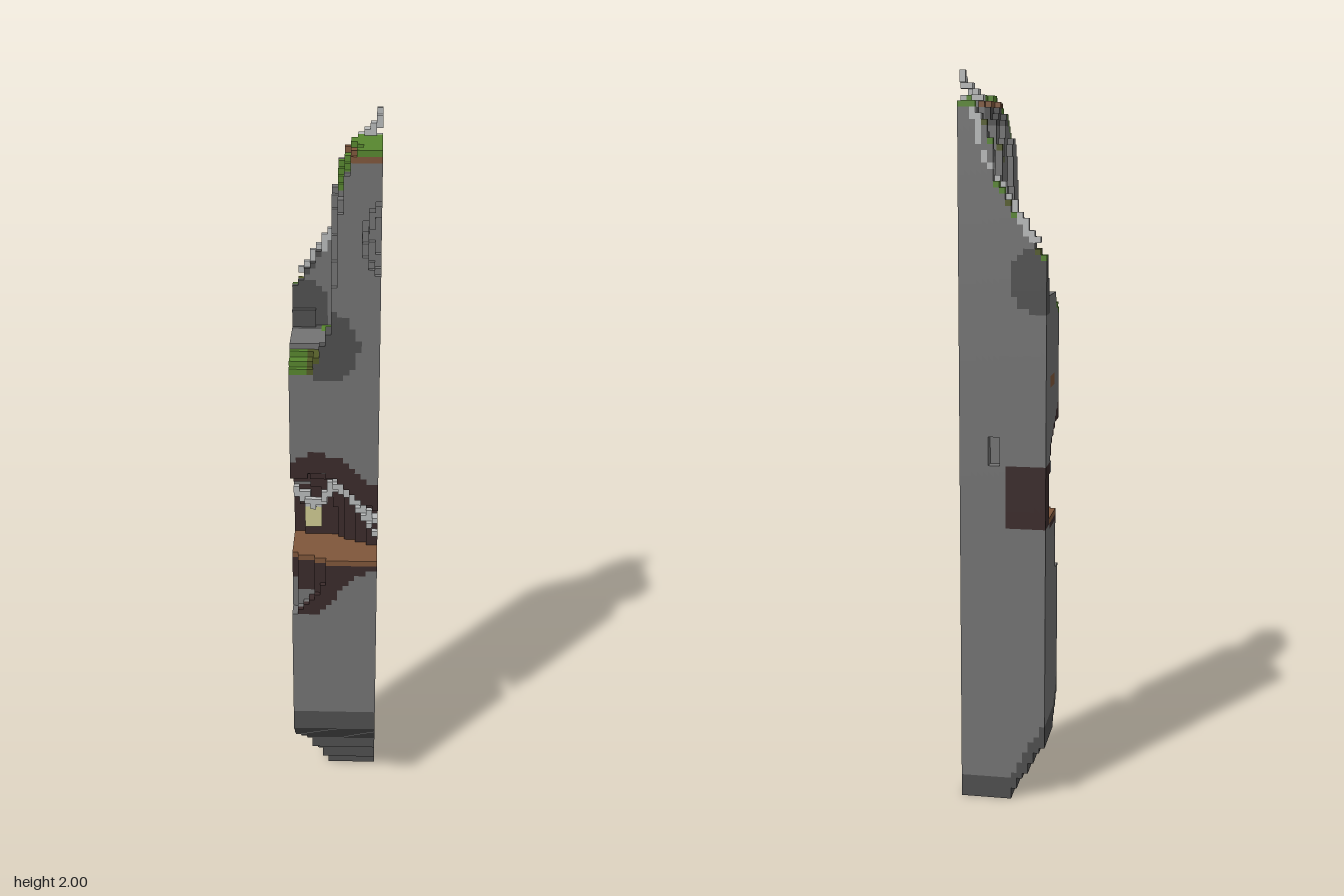
import * as THREE from 'three';

// Block size and counts: 15 x 127 x 15 cells
const S = 2 / 127, N = 15, H = 127;
const mat = (name, color) => { const m = new THREE.MeshStandardMaterial({ color }); m.name = name; return m; };

// Linear interpolation through [position, value] points
function at(points, p) {
  if (p <= points[0][0]) return points[0][1];
  for (let i = 1; i < points.length; i++) {
    const [a, va] = points[i - 1], [b, vb] = points[i];
    if (p <= b) return va + (vb - va) * (p - a) / (b - a);
  }
  return points[points.length - 1][1];
}

// Underside: slopes away towards the front and the right-hand side
const underZ = [[-0.05, 0], [-0.035, 0.03], [-0.02, 0.07], [0, 0.13], [0.07, 0.19], [0.12, 0.25]];
const underX = [[-0.12, 0.18], [-0.08, 0.12], [-0.05, 0.06], [-0.015, 0]];
const under = (x, z) => Math.max(at(underZ, z), at(underX, x));

// Broken top: inner edge of the tall slab, and top of the thin back wall
const slabEdge = [[1.36, -0.07], [1.42, -0.03], [1.5, 0], [1.8, 0.004], [1.87, 0.02], [1.91, 0.04], [1.94, 0.06]];
const wallTop = [[-0.12, 1.51], [-0.05, 1.61], [0.05, 1.78], [0.08, 1.92], [0.12, 1.92]];
const edgeAt = (y, z) => at(slabEdge, y) + 0.012 * Math.sin(z * 40 + y * 9) * (y > 1.5 ? 1 : 0.4);
const ledge = z => (z > 0.05 ? 1.37 + (0.118 - z) * 0.6 : 1.41);

// Hollow: roof height, depth, and the chipped sill below
const roof = [[-0.12, 1.05], [-0.04, 1.07], [0, 1.05], [0.06, 0.99], [0.118, 0.955]];
const depth = [[-0.12, 0.17], [0, 0.15], [0.118, 0.083]];
const FLOOR = 51 * S;
const sillDepth = [[-0.12, 0.05], [-0.05, 0.02], [0, 0]];
const sillLow = [[-0.12, 0.63], [-0.05, 0.68], [0, 0.78]];
function inHollow(x, y, z) {
  const d = 0.118 - z;
  if (y < FLOOR) return y > at(sillLow, x) && d < at(sillDepth, x);
  const u = d / at(depth, x), v = Math.max(0, (y - 0.87) / (at(roof, x) - 0.87));
  return u ** 2.5 + v ** 2.5 < 1;
}

// Arched window through the tall slab
const inWindow = (x, y, z) => x > -0.06 && y > 1.41 && y < 1.562 &&
  Math.abs(z + 0.03) < at([[1.5, 0.062], [1.53, 0.05], [1.56, 0.025]], y);

// Chip out of the tall corner, and a small niche in the back
const inChip = (x, y, z) => Math.hypot(x - 0.125, (y - 1.715) * 0.55, z - 0.125) < 0.056;
const inNiche = (x, y, z) => z < -0.09 && Math.abs(x - 0.022) < 0.016 && Math.abs(y - 1.0) < 0.035;

function solid(x, y, z) {
  if (y < under(x, z) || inHollow(x, y, z) || inWindow(x, y, z) || inChip(x, y, z) || inNiche(x, y, z)) return false;
  if (y < ledge(z)) return true;
  const wallThick = y < 1.46 ? 0.045 : 0.03;
  if (z < -0.118 + wallThick && y < at(wallTop, x)) return true;
  if (z < -0.07) return x > edgeAt(y, z) + 0.03 && y < 1.92;
  return y < 123 * S && x > edgeAt(y, z);
}

// Charred area around the hollow
const charTop = [[-0.12, 1.1], [-0.06, 1.14], [0.02, 1.125], [0.06, 1.07], [0.118, 1.035]];
const charLow = [[-0.12, 0.605], [-0.06, 0.61], [-0.02, 0.64], [0.02, 0.7], [0.06, 0.75], [0.118, 0.78]];
function charred(x, y, z) {
  const w = (0.118 - z) / 0.16, top = at(charTop, x), low = at(charLow, x);
  if (x < -0.01 && z < -0.04) return y > 0.79 && y < 0.96;
  if (x > 0.1 && z < -0.02) return (y > 0.985 && y < 1.02 && z > -0.085) || (z > -0.055 && y > 0.78 && y < 0.87);
  return z > -0.07 && y < top + (1.0 - top) * w && y > low + (0.77 - low) * Math.min(1, w * 2.2);
}

function partOf(x, y, z, open) {
  if (y < 0.35) return y < under(x, z) + 0.055 || (z < -0.05 && y < 0.06) ? 'weatheredStone' : 'stonePillar';
  // earth floor of the hollow and a stain on the side
  if (open && y < FLOOR && y > FLOOR - S && inHollow(x, y + S, z)) return 'earth';
  if (x < -0.1 && Math.hypot(z * 0.4, y - 1.18) < 0.018) return 'earth';
  if (y > 0.55 && y < 1.2) {
    if (Math.hypot(x + 0.018, y - 1.04) < 0.028 && z < 0.11) return 'stonePillar';
    return charred(x, y, z) ? 'charredHollow' : 'stonePillar';
  }
  // moss and earth layers on the summit
  if (y > 122 * S) return 'moss';
  if (y > 121 * S && z > -0.07) return 'earth';
  if (y > 1.3 && open) {
    if (z > 0.055 && x < -0.035) return x > -0.065 ? 'darkMoss' : 'moss';
    if (z < -0.1) return Math.sin(x * 90) > -0.75 ? 'moss' : 'darkMoss';
    if (z < -0.035 && x > -0.035 && x < 0.03) return x < 0 ? 'moss' : 'darkMoss';
    if (x > 0.01 && x < 0.045 && z > 0.01 && z < 0.07) return 'moss';
    if (z < -0.06 || (x > 0.035 && y > 1.8)) return 'weatheredStone';
  }
  // weathered patches beside the break
  if (z > 0.05 && Math.hypot((x + 0.02) / 0.085, (y - 1.43) / 0.095) < 1) return 'weatheredStone';
  if (z < -0.06 && Math.hypot((x + 0.1) / 0.08, (y - 1.46) / 0.09) < 1) return 'weatheredStone';
  if (y > 1.86 && x < 0.06 && z < 0.1) return 'weatheredStone';
  return 'stonePillar';
}

const key = (i, j, k) => (j * N + k) * N + i;
const cellOf = (x, y, z) => [Math.floor(x / S + N / 2), Math.floor(y / S), Math.floor(z / S + N / 2)];

export function createModel() {
  const cells = new Map();
  const pos = i => (i + 0.5 - N / 2) * S;
  for (let j = 0; j < H; j++) for (let k = 0; k < N; k++) for (let i = 0; i < N; i++) {
    const x = pos(i), y = (j + 0.5) * S, z = pos(k);
    if (solid(x, y, z)) cells.set(key(i, j, k), partOf(x, y, z, !solid(x, y + S, z)));
  }

  // Pale roots: block trails along short paths
  const trail = (points, part) => {
    for (let n = 1; n < points.length; n++) for (let t = 0; t <= 1; t += 0.05) {
      const [i, j, k] = cellOf(...points[n].map((v, a) => points[n - 1][a] + (v - points[n - 1][a]) * t));
      if (i >= 0 && i < N && j < H && k >= 0 && k < N) cells.set(key(i, j, k), part);
    }
  };
  trail([[-0.11, 0.94, -0.03], [-0.06, 0.885, -0.03], [-0.03, 0.93, -0.02], [0, 1.0, 0], [0.04, 0.99, 0.03],
    [0.07, 0.93, 0.06], [0.11, 0.89, 0.11]], 'paleRoots');
  trail([[-0.11, 0.95, -0.03], [-0.06, 0.91, -0.02], [0.01, 0.98, 0.01], [0.05, 0.96, 0.04], [0.11, 0.92, 0.09]], 'paleRoots');
  trail([[-0.09, 1.56, -0.112], [-0.06, 1.6, -0.112], [-0.03, 1.65, -0.098], [0.02, 1.72, -0.098], [0.05, 1.79, -0.108]], 'paleRoots');
  trail([[0.06, 1.82, -0.11], [0.075, 1.9, -0.11], [0.07, 1.93, -0.07], [0.085, 1.945, -0.045], [0.1, 1.96, -0.06],
    [0.105, 1.975, -0.065], [0.112, 1.995, -0.08]], 'paleRoots');
  trail([[0.075, 1.93, -0.04], [0.11, 1.93, -0.06]], 'paleRoots');
  // Glowing fungus on the back of the hollow
  for (const dx of [-0.085, -0.07, -0.055]) trail([[dx, 0.85, -0.025], [dx, 0.89, -0.025]], 'fungus');

  const materials = {
    stonePillar: mat('stone', 0x747474), weatheredStone: mat('dark stone', 0x505050),
    charredHollow: mat('charred brown', 0x3b2b2b), earth: mat('earth brown', 0x80573b),
    moss: mat('moss green', 0x58872f), darkMoss: mat('dark moss', 0x545c28),
    paleRoots: mat('pale grey', 0xb9bbbb), fungus: mat('pale yellow', 0xcfcb92),
  };

  // Exposed block faces, collected for each part
  const buffers = {};
  for (const part in materials) buffers[part] = { p: [], n: [], idx: [] };
  for (const [id, part] of cells) {
    const c = [id % N, Math.floor(id / (N * N)), Math.floor(id / N) % N];
    const { p, n, idx } = buffers[part];
    for (let a = 0; a < 3; a++) for (const s of [-1, 1]) {
      const q = [...c];
      q[a] += s;
      const inside = q[0] >= 0 && q[0] < N && q[2] >= 0 && q[2] < N && q[1] >= 0 && q[1] < H;
      if (inside && cells.has(key(...q))) continue;
      const base = p.length / 3, u = (a + 1) % 3, v = (a + 2) % 3;
      for (const [du, dv] of [[0, 0], [1, 0], [1, 1], [0, 1]]) {
        const w = [...c], nor = [0, 0, 0];
        w[a] += s > 0 ? 1 : 0; w[u] += du; w[v] += dv;
        nor[a] = s;
        p.push((w[0] - N / 2) * S, w[1] * S, (w[2] - N / 2) * S);
        n.push(...nor);
      }
      const order = s > 0 ? [0, 1, 2, 0, 2, 3] : [0, 2, 1, 0, 3, 2];
      idx.push(...order.map(o => base + o));
    }
  }

  const group = new THREE.Group();
  group.name = 'brokenPillar';
  for (const part in materials) {
    const { p, n, idx } = buffers[part];
    const geometry = new THREE.BufferGeometry();
    geometry.setAttribute('position', new THREE.Float32BufferAttribute(p, 3));
    geometry.setAttribute('normal', new THREE.Float32BufferAttribute(n, 3));
    geometry.setIndex(idx);
    const mesh = new THREE.Mesh(geometry, materials[part]);
    mesh.name = part;
    group.add(mesh);
  }
  return group;
}
